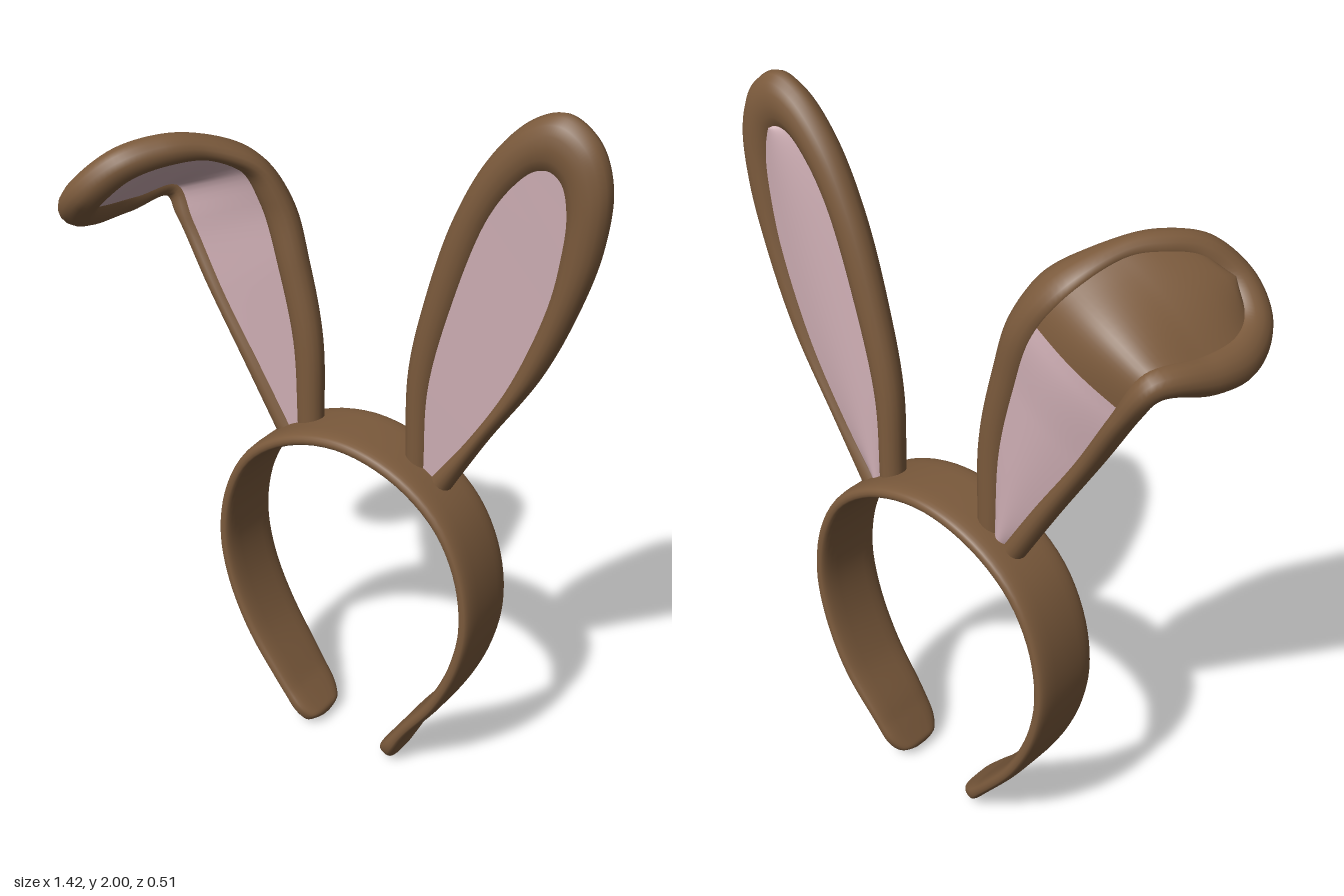
import * as THREE from 'three';

const brown = new THREE.MeshStandardMaterial({ color: 0x7b5a3c, side: THREE.DoubleSide });
brown.name = 'brown';
const pink = new THREE.MeshStandardMaterial({ color: 0xcdadb3, side: THREE.DoubleSide });
pink.name = 'pink';

const V = (x, y, z) => new THREE.Vector3(x, y, z);

// Skin a list of equally long rows of points; closed rows wrap round.
function skin(name, rows, closed, material) {
  const n = rows[0].length, index = [];
  for (let i = 0; i < rows.length - 1; i++) {
    for (let j = 0; j < (closed ? n : n - 1); j++) {
      const k = (j + 1) % n, a = i * n + j, b = i * n + k;
      index.push(a, b, a + n, b, b + n, a + n);
    }
  }
  const geometry = new THREE.BufferGeometry().setFromPoints(rows.flat());
  geometry.setIndex(index);
  geometry.computeVertexNormals();
  const mesh = new THREE.Mesh(geometry, material);
  mesh.name = name;
  return mesh;
}

// Wide flat band bent into an open hoop with rounded ends.
function headband() {
  const path = new THREE.CatmullRomCurve3([
    [-0.053, 0.008], [-0.16, 0.135], [-0.267, 0.283], [-0.335, 0.44], [-0.358, 0.59],
    [-0.33, 0.75], [-0.257, 0.877], [-0.125, 0.97], [0.045, 1.007], [0.215, 0.97],
    [0.347, 0.877], [0.42, 0.75], [0.448, 0.59], [0.425, 0.44], [0.36, 0.283],
    [0.262, 0.135], [0.192, 0.008],
  ].map(([x, y]) => V(x, y, 0)));
  const length = path.getLength(), rows = [];
  const round = (d, r) => Math.sqrt(Math.max(0, 1 - (1 - Math.min(1, d / r)) ** 2));
  for (let i = 0; i <= 120; i++) {
    const u = (1 - Math.cos(Math.PI * i / 120)) / 2;
    const d = Math.min(u, 1 - u) * length;
    const p = path.getPointAt(u), t = path.getTangentAt(u);
    const back = -0.255 + 0.035 * (1 - Math.min(1, d / 0.4)) ** 2;
    const middle = (back - 0.045) / 2;
    const half = (-0.045 - back) / 2 * (0.35 + 0.65 * round(d, 0.09)) * round(d, 0.02);
    const thick = (0.021 + 0.009 * (1 - Math.min(1, d / 0.12))) * round(d, 0.025);
    const row = [];
    for (let j = 0; j < 28; j++) {
      const a = j / 28 * Math.PI * 2, c = Math.cos(a), s = Math.sin(a);
      const w = Math.sign(c) * Math.abs(c) ** 0.5 * half;
      const h = Math.sign(s) * Math.abs(s) ** 0.7 * thick;
      row.push(V(p.x - t.y * h, p.y + t.x * h, middle + w));
    }
    rows.push(row);
  }
  return skin('headband', rows, true, brown);
}

// Ear from an outer and an inner edge running up one side and down the other.
// `facing` gives the direction of the ear's front at each point.
function ear(name, outer, inner, facing, backPinkEnd) {
  const group = new THREE.Group();
  group.name = name;
  const [oc, ic, fc] = [outer, inner, facing].map(
    (list) => new THREE.CatmullRomCurve3(list.map((p) => V(...p))));
  const at = (t) => {
    const o = oc.getPoint(t), i = ic.getPoint(t);
    const h = 0.035 + 0.011 * Math.sin(Math.PI * t);
    return {
      centre: o.clone().add(i).multiplyScalar(0.5),
      radial: o.sub(i).multiplyScalar(0.5),
      normal: fc.getPoint(t).normalize().multiplyScalar(h),
    };
  };

  // Padded rim of elliptical section
  const rim = [];
  for (let i = 0; i <= 140; i++) {
    const { centre, radial, normal } = at(i / 140), row = [];
    for (let j = 0; j < 16; j++) {
      const a = j / 16 * Math.PI * 2;
      row.push(centre.clone().addScaledVector(radial, Math.cos(a))
        .addScaledVector(normal, Math.sin(a)));
    }
    rim.push(row);
  }
  group.add(skin(name + 'Rim', rim, true, brown));

  // Lining sheet spanning the rim between two heights, on the front or back
  const lining = (part, from, to, side, bulge, material) => {
    const rows = [];
    for (let i = 0; i <= 50; i++) {
      const t = from + (to - from) * i / 50, l = at(t), r = at(1 - t), row = [];
      const a = l.centre.clone().addScaledVector(l.radial, -0.7);
      const b = r.centre.clone().addScaledVector(r.radial, -0.7);
      for (let j = 0; j <= 10; j++) {
        const s = j / 10;
        const n = l.normal.clone().lerp(r.normal, s);
        row.push(a.clone().lerp(b, s)
          .addScaledVector(n, side * (0.6 + bulge * Math.sin(Math.PI * s))));
      }
      rows.push(row);
    }
    group.add(skin(name + part, rows, false, material));
  };
  lining('FrontLining', 0, 0.5, 1, 0, pink);
  lining('BackLining', 0, backPinkEnd, -1, 0.3, pink);
  if (backPinkEnd < 0.5) lining('FoldCover', backPinkEnd, 0.5, -1, 0.3, brown);
  return group;
}

export function createModel() {
  const model = new THREE.Group();
  model.name = 'earHeadband';
  model.add(headband());

  // Upright ear
  const lean = ([x, y]) => [x, y, -0.16 + 0.016 * (y - 1)];
  const upOuter = [
    [0.19, 0.98], [0.193, 1.24], [0.235, 1.45], [0.31, 1.69], [0.405, 1.87], [0.51, 1.975],
    [0.59, 2.0], [0.67, 1.95], [0.71, 1.85], [0.70, 1.69], [0.643, 1.5], [0.564, 1.32],
    [0.43, 1.105], [0.325, 0.92],
  ].map(lean);
  const upInner = [
    [0.262, 0.97], [0.27, 1.21], [0.335, 1.475], [0.42, 1.71], [0.48, 1.8], [0.53, 1.845],
    [0.565, 1.85], [0.59, 1.83], [0.605, 1.76], [0.597, 1.65], [0.575, 1.53], [0.485, 1.29],
    [0.38, 1.105], [0.275, 0.96],
  ].map(lean);
  model.add(ear('leftEar', upOuter, upInner, upOuter.map(() => [0, 0, 1]), 0.5));

  // Folded ear, its tip flopping forward and outward
  const foldOuter = [
    [-0.225, 0.92, -0.16], [-0.335, 1.105, -0.16], [-0.47, 1.32, -0.165], [-0.575, 1.49, -0.175],
    [-0.62, 1.55, -0.165], [-0.68, 1.53, -0.03], [-0.69, 1.53, 0.1], [-0.645, 1.585, 0.215],
    [-0.56, 1.67, 0.253], [-0.46, 1.76, 0.2], [-0.39, 1.79, 0.1], [-0.33, 1.78, 0],
    [-0.24, 1.72, -0.11], [-0.18, 1.61, -0.15], [-0.135, 1.45, -0.16], [-0.09, 1.24, -0.16],
    [-0.085, 0.98, -0.16],
  ];
  const foldInner = [
    [-0.175, 0.96, -0.16], [-0.275, 1.12, -0.16], [-0.395, 1.3, -0.165], [-0.5, 1.48, -0.175],
    [-0.56, 1.6, -0.16], [-0.61, 1.6, -0.03], [-0.62, 1.61, 0.07], [-0.595, 1.63, 0.13],
    [-0.54, 1.68, 0.155], [-0.49, 1.73, 0.12], [-0.44, 1.75, 0.05], [-0.39, 1.75, -0.03],
    [-0.34, 1.69, -0.14], [-0.28, 1.59, -0.165], [-0.22, 1.42, -0.16], [-0.175, 1.22, -0.16],
    [-0.162, 0.97, -0.16],
  ];
  const foldFacing = foldOuter.map((p, i) => {
    const up = Math.min(i, 16 - i);
    return up < 4 ? [0, 0, 1] : up === 4 ? [0.5, -0.5, 0.7] : [0.7, -0.7, 0];
  });
  model.add(ear('rightEar', foldOuter, foldInner, foldFacing, 3.2 / 16));
  return model;
}
